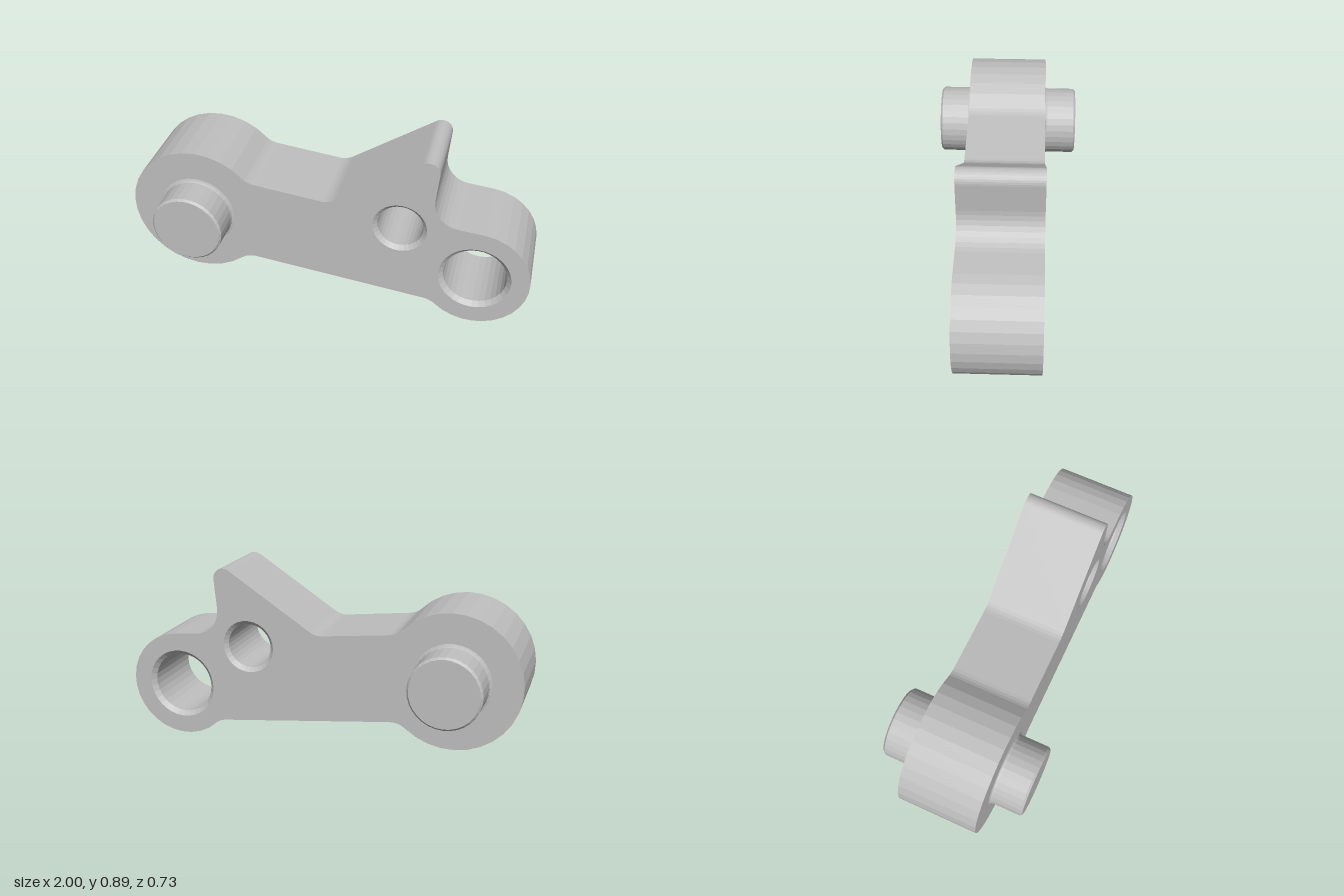
import * as THREE from 'three';

const HALF = 0.2;   // half thickness of the arm
const SEG = 32;     // facets in a full circle
const rad = THREE.MathUtils.degToRad;

// Outline of the arm, clockwise: [cx, cy, radius, start degrees, end degrees]; straight edges join the arcs
const ARCS = [
  [-0.665, 0.435, 0.335, 310, 43.9],      // large boss
  [-0.3515, 0.7366, 0.1, 223.9, 263.1],   // boss to top edge
  [-0.02, 0.697, 0.1, 263.1, 303],        // top edge to horn
  [0.478, 0.838, 0.052, 123, -5.7],       // horn tip
  [0.645, 0.675, 0.13, 174.3, 263],       // horn to small boss
  [0.73, 0.268, 0.267, 83, -133],         // small boss
  [0.48, 0, 0.1, 47, 83.2],               // small boss to bottom edge
  [-0.385, 0.102, 0.1, 83.2, 130],        // bottom edge to large boss
];
const PIN = { x: -0.665, y: 0.435, rim: 0.19 };
const BORES = [
  { name: 'smallBore', x: 0.355, y: 0.505, r: 0.112, rim: 0.132 },
  { name: 'largeBore', x: 0.73, y: 0.268, r: 0.155, rim: 0.177 },
];

function arcPoints([cx, cy, r, from, to]) {
  const n = Math.max(4, Math.round(Math.abs(to - from) * SEG / 360));
  return Array.from({ length: n + 1 }, (_, i) => {
    const a = rad(from + (to - from) * i / n);
    return new THREE.Vector2(cx + r * Math.cos(a), cy + r * Math.sin(a));
  });
}

// Faceted surface of revolution about the z axis
function turned(profile) {
  const points = profile.map(([r, z]) => new THREE.Vector2(r, z));
  const geo = new THREE.LatheGeometry(points, SEG).rotateX(Math.PI / 2).toNonIndexed();
  geo.computeVertexNormals();
  return geo;
}

// Flat edge band swept through the thickness along a counterclockwise outline
function edgeBand(points) {
  const pos = [];
  points.forEach((a, i) => {
    const b = points[(i + 1) % points.length];
    pos.push(a.x, a.y, -HALF, b.x, b.y, -HALF, b.x, b.y, HALF);
    pos.push(a.x, a.y, -HALF, b.x, b.y, HALF, a.x, a.y, HALF);
  });
  const geo = new THREE.BufferGeometry();
  geo.setAttribute('position', new THREE.Float32BufferAttribute(pos, 3));
  geo.computeVertexNormals();
  return geo;
}

export function createModel() {
  const group = new THREE.Group();
  group.name = 'leverArm';
  const metal = new THREE.MeshStandardMaterial({ color: 0xbfbfbf });
  metal.name = 'grey metal';
  const add = (name, geo, x = 0, y = 0) => {
    const mesh = new THREE.Mesh(geo, metal);
    mesh.name = name;
    mesh.position.set(x, y, 0);
    group.add(mesh);
    return mesh;
  };

  // Arm: front and back faces with openings, and the edge around them
  const outline = ARCS.flatMap(arcPoints).reverse();
  const shape = new THREE.Shape(outline);
  for (const { x, y, rim } of [PIN, ...BORES]) {
    const ring = arcPoints([x, y, rim, 360, 0]);
    ring.pop();
    shape.holes.push(new THREE.Path(ring));
  }
  const front = new THREE.ShapeGeometry(shape).translate(0, 0, HALF);
  const back = front.clone().translate(0, 0, -2 * HALF);
  back.setIndex(Array.from(front.index.array).reverse());
  back.computeVertexNormals();
  add('armFrontFace', front);
  add('armBackFace', back);
  add('armEdge', edgeBand(outline));

  // Through holes with chamfered rims
  for (const { name, x, y, r, rim } of BORES) {
    const z = HALF - (rim - r);
    add(name, turned([[rim, HALF], [r, z], [r, -z], [rim, -HALF]]), x, y);
  }

  // Pivot pin on each side, filleted at the root and chamfered at the end
  const pin = turned([
    [PIN.rim, HALF], [0.18, 0.204], [0.176, 0.214],
    [0.176, 0.355], [0.166, 0.365], [0, 0.365],
  ]);
  add('frontPin', pin, PIN.x, PIN.y);
  add('backPin', pin, PIN.x, PIN.y).rotation.y = Math.PI;

  return group;
}
